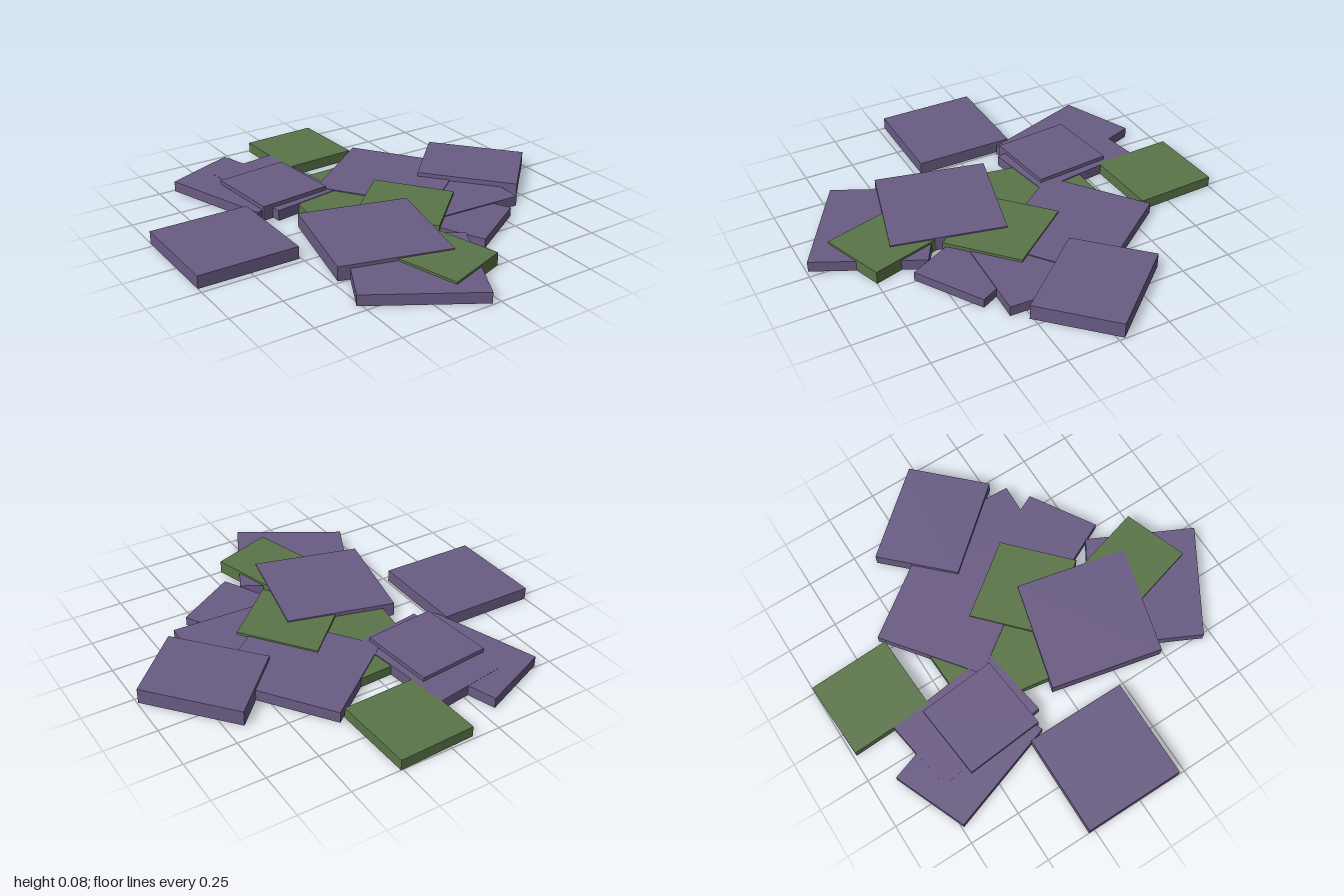
import * as THREE from 'three';

export function createModel() {
  const group = new THREE.Group();
  group.name = 'scatteredSlabs';

  const purple = new THREE.MeshStandardMaterial({ color: 0x6a5c84 });
  purple.name = 'dusty purple';
  const green = new THREE.MeshStandardMaterial({ color: 0x5b7549 });
  green.name = 'moss green';

  // Slab on the ground: back-left corner (x, z), edge u, edge v, height
  function slab(name, material, [x, z], [ux, uz], [vx, vz], h) {
    const geometry = new THREE.BoxGeometry(1, 1, 1).translate(0.5, 0.5, 0.5);
    geometry.applyMatrix4(new THREE.Matrix4().set(
      ux, 0, vx, x,
      0, h, 0, 0,
      uz, 0, vz, z,
      0, 0, 0, 1
    ));
    geometry.computeVertexNormals();
    const mesh = new THREE.Mesh(geometry, material);
    mesh.name = name;
    group.add(mesh);
  }

  // Back cluster
  slab('backLeftSlab', purple, [-0.67, -0.74], [0.35, -0.145], [0.18, 0.54], 0.052);
  slab('backMiddleSlab', purple, [-0.47, -0.72], [0.36, -0.055], [0.07, 0.56], 0.053);
  slab('backTopSlab', purple, [-0.49, -0.585], [0.367, -0.037], [0.033, 0.385], 0.073);
  slab('backGreenSlab', green, [-0.12, -0.985], [0.38, -0.015], [0.015, 0.405], 0.053);

  // Sides
  slab('rightSlab', purple, [-1, -0.28], [0.49, 0.005], [0, 0.495], 0.062);
  slab('leftSlab', purple, [0.67, -0.415], [0.325, 0.385], [-0.29, 0.295], 0.075);

  // Centre
  slab('centreGreenSlabBack', green, [-0.12, -0.445], [0.4, -0.015], [0.015, 0.4], 0.048);
  slab('centreGreenSlabFront', green, [-0.26, -0.29], [0.4, 0.085], [-0.065, 0.405], 0.05);
  slab('centreSlab', purple, [-0.115, -0.29], [0.425, -0.325], [0.35, 0.49], 0.055);
  slab('centreTopGreenSlab', green, [0.165, -0.19], [0.245, 0.33], [-0.283, 0.262], 0.063);

  // Front cluster
  slab('frontLeftSlab', purple, [0.215, -0.17], [0.455, 0.02], [-0.02, 0.48], 0.05);
  slab('frontLeftLowSlab', purple, [0.08, 0.265], [0.31, -0.19], [0.16, 0.33], 0.045);
  slab('frontSlab', purple, [-0.28, 0.215], [0.48, 0.29], [-0.24, 0.487], 0.053);
  slab('frontGreenSlab', green, [-0.225, 0.505], [0.31, -0.11], [0.1, 0.355], 0.064);
  slab('frontTopSlab', purple, [-0.355, -0.055], [0.52, 0.14], [-0.12, 0.54], 0.07);

  return group;
}
